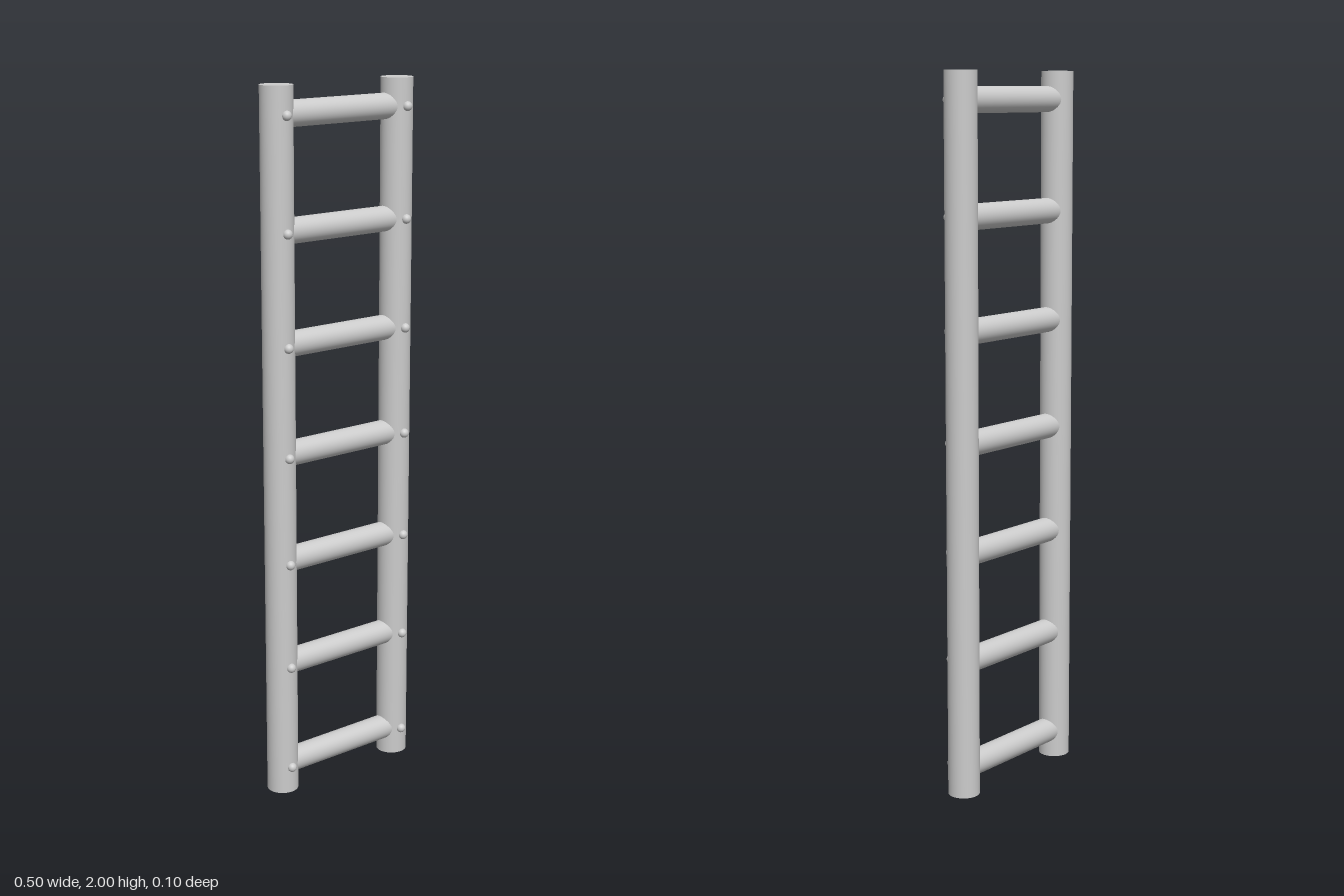
import * as THREE from 'three';

export function createModel() {
  const group = new THREE.Group();
  group.name = 'ladder';
  const material = new THREE.MeshStandardMaterial({ color: 0xcccccc });

  const railX = 0.206, railRadius = 0.0447, centreZ = -0.0073;
  const rungCount = 7, firstRungY = 0.077, lastRungY = 1.923;

  const railGeometry = new THREE.CylinderGeometry(railRadius, railRadius, 2, 48);
  const rungGeometry = new THREE.CylinderGeometry(0.0355, 0.0355, railX * 2, 40).rotateZ(Math.PI / 2);
  const rivetGeometry = new THREE.SphereGeometry(0.0134, 24, 16);

  function add(name, geometry, x, y, z) {
    const mesh = new THREE.Mesh(geometry, material);
    mesh.name = name;
    mesh.position.set(x, y, z);
    group.add(mesh);
  }

  // Two round upright rails
  add('leftRail', railGeometry, railX, 1, centreZ);
  add('rightRail', railGeometry, -railX, 1, centreZ);

  // Evenly spaced rungs, each pinned by a round rivet on the front of both rails
  for (let i = 0; i < rungCount; i++) {
    const y = THREE.MathUtils.lerp(firstRungY, lastRungY, i / (rungCount - 1));
    add(`rung${i + 1}`, rungGeometry, 0, y, centreZ);
    add(`leftRivet${i + 1}`, rivetGeometry, railX, y, centreZ + railRadius);
    add(`rightRivet${i + 1}`, rivetGeometry, -railX, y, centreZ + railRadius);
  }

  return group;
}
